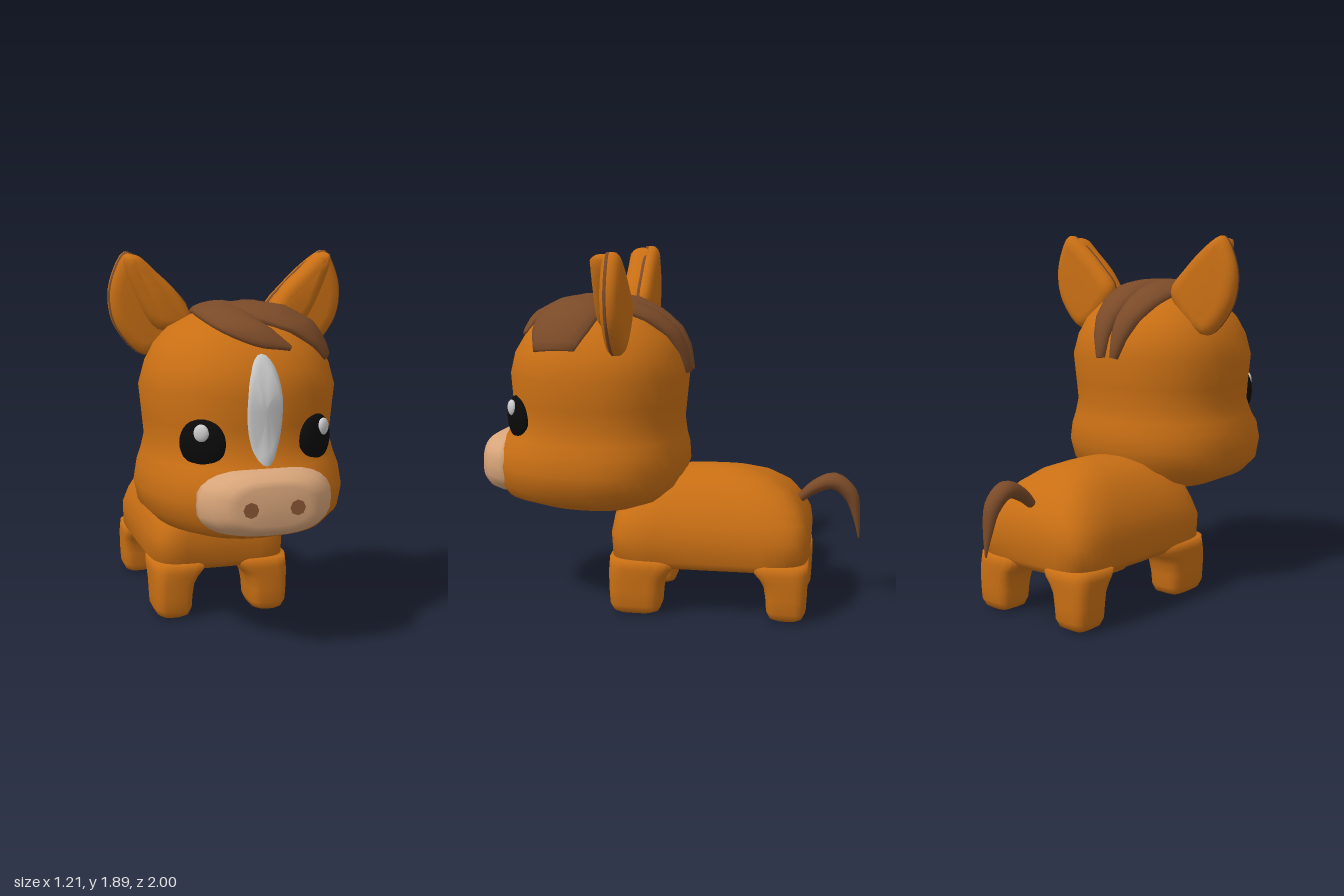
import * as THREE from 'three';
import { toCreasedNormals } from 'three/addons/utils/BufferGeometryUtils.js';

const V = (x, y, z) => new THREE.Vector3(x, y, z);
const mat = (color) => new THREE.MeshStandardMaterial({ color });
const coat = mat(0xc96f14), hair = mat(0x7a4a28), skin = mat(0xd8a57a);
const black = mat(0x0a0a0a), white = mat(0xcccccc), nostrilMat = mat(0x8a5634);

function add(parent, name, geometry, material) {
  const mesh = new THREE.Mesh(geometry, material);
  mesh.name = name;
  parent.add(mesh);
  return mesh;
}

// Closed skin over a list of equal-sized rings, turned so that it faces outward
function loft(rings) {
  const n = rings[0].length, pts = rings.flat(), idx = [];
  for (let r = 0; r < rings.length - 1; r++)
    for (let i = 0; i < n; i++) {
      const a = r * n + i, b = r * n + (i + 1) % n;
      idx.push(a, b, b + n, a, b + n, a + n);
    }
  for (const [r, flip] of [[0, true], [rings.length - 1, false]]) {
    const c = pts.length;
    pts.push(rings[r].reduce((s, p) => s.add(p), V(0, 0, 0)).divideScalar(n));
    for (let i = 0; i < n; i++) {
      const a = r * n + i, b = r * n + (i + 1) % n;
      idx.push(...(flip ? [c, b, a] : [c, a, b]));
    }
  }
  let volume = 0;
  for (let i = 0; i < idx.length; i += 3)
    volume += pts[idx[i]].dot(pts[idx[i + 1]].clone().cross(pts[idx[i + 2]]));
  if (volume < 0) idx.reverse();
  const g = new THREE.BufferGeometry().setFromPoints(pts);
  g.setIndex(idx);
  g.computeVertexNormals();
  return g;
}

// Superellipse: n points as [u, v] in -1..1
function oval(n, power) {
  const f = (t) => Math.sign(t) * Math.abs(t) ** (2 / power);
  return Array.from({ length: n }, (_, i) => {
    const a = (i / n) * Math.PI * 2;
    return [f(Math.cos(a)), f(Math.sin(a))];
  });
}

// Horizontal ring between x and z limits
const flatRing = (y, x0, x1, z0, z1, n, power) => oval(n, power).map(([u, v]) =>
  V((x0 + x1) / 2 + u * (x1 - x0) / 2, y, (z0 + z1) / 2 + v * (z1 - z0) / 2));

// Head sections: height, half width, back z, front z
const HEAD = [
  [0.53, 0.12, 0.25, 0.55], [0.55, 0.3, 0.12, 0.75], [0.6, 0.42, 0, 0.9], [0.67, 0.49, -0.06, 0.95],
  [0.77, 0.51, -0.09, 0.96], [0.86, 0.495, -0.085, 0.94], [0.92, 0.475, -0.07, 0.89],
  [1.0, 0.455, -0.06, 0.85], [1.1, 0.465, -0.07, 0.85], [1.25, 0.48, -0.085, 0.86],
  [1.36, 0.45, -0.06, 0.835], [1.45, 0.405, -0.01, 0.78], [1.53, 0.335, 0.08, 0.71],
  [1.59, 0.22, 0.19, 0.6], [1.615, 0.08, 0.3, 0.46],
];
const MID = 0.38, HEAD_POWER = 2.2;

function insideHead(p) {
  const k = HEAD.findIndex((r) => r[0] > p.y);
  if (k < 1) return false;
  const a = HEAD[k - 1], b = HEAD[k], t = (p.y - a[0]) / (b[0] - a[0]);
  const [, w, zb, zf] = a.map((v, i) => v + (b[i] - v) * t);
  const d = p.z > MID ? zf - MID : MID - zb;
  return Math.abs(p.x / w) ** HEAD_POWER + Math.abs((p.z - MID) / d) ** HEAD_POWER < 1;
}

// Point where a ray leaves the head, raised by lift
function onHead(origin, dir, lift) {
  let lo = 0, hi = 1.2;
  for (let i = 0; i < 24; i++) {
    const m = (lo + hi) / 2;
    if (insideHead(origin.clone().addScaledVector(dir, m))) lo = m; else hi = m;
  }
  return origin.clone().addScaledVector(dir, lo + lift);
}

// Lock of hair lying on the head; stations are [x, y, z, half width, thickness]
function lock(stations) {
  const centre = V(0, 1.15, MID), steps = 14;
  const path = new THREE.CatmullRomCurve3(stations.map((s) => V(s[0], s[1], s[2])));
  const rings = [];
  for (let i = 0; i <= steps; i++) {
    const t = i / steps, f = t * (stations.length - 1);
    const k = Math.min(Math.floor(f), stations.length - 2);
    const [w, th] = [3, 4].map((j) => THREE.MathUtils.lerp(stations[k][j], stations[k + 1][j], f - k));
    const p = path.getPoint(t);
    const side = path.getTangent(t).cross(p.clone().sub(centre)).normalize();
    rings.push(oval(16, 2).map(([u, v]) => {
      const dir = p.clone().addScaledVector(side, u * w).sub(centre).normalize();
      return onHead(centre, dir, 0.005 + v * th);
    }));
  }
  return loft(rings);
}

// Softly bevelled plate from a closed outline
function plate(points, s, z, depth, bevel, size) {
  const curve = new THREE.CatmullRomCurve3(points.map(([x, y]) => V(x * s, y, 0)), true, 'centripetal');
  const shape = new THREE.Shape(curve.getPoints(36).slice(0, -1).map((p) => new THREE.Vector2(p.x, p.y)));
  const g = new THREE.ExtrudeGeometry(shape, {
    depth, bevelThickness: bevel, bevelSize: size, bevelOffset: -size, bevelSegments: 4,
  });
  g.translate(0, 0, z);
  return toCreasedNormals(g, 1);
}

function makeHead() {
  const head = new THREE.Group();
  head.name = 'head';
  add(head, 'skull', loft(HEAD.map(([y, w, zb, zf]) => oval(36, HEAD_POWER).map(([u, v]) =>
    V(u * w, y, MID + v * (v > 0 ? zf - MID : MID - zb))))), coat);

  // Muzzle: z, half width, bottom, top
  add(head, 'muzzle', loft([
    [0.76, 0.34, 0.6, 0.925], [0.87, 0.325, 0.6, 0.925], [0.94, 0.28, 0.615, 0.91],
    [0.985, 0.22, 0.645, 0.885], [1, 0.17, 0.675, 0.855],
  ].map(([z, w, y0, y1]) => oval(28, 2.7).map(([u, v]) =>
    V(u * w, (y0 + y1) / 2 + v * (y1 - y0) / 2, z)))), skin);

  // Blaze following the forehead
  add(head, 'blaze', loft([[1, -0.02], [1, 0.004], [0.8, 0.009], [0.4, 0.013], [0.1, 0.015]].map(([k, lift]) =>
    oval(28, 2).map(([u, v]) => onHead(V(u * k * 0.085, 1.185 + v * k * 0.255, MID), V(0, 0, 1), lift)))), white);

  for (const s of [-1, 1]) {
    const nostril = add(head, 'nostril', new THREE.CylinderGeometry(0.037, 0.037, 0.02, 8), nostrilMat);
    nostril.rotation.x = Math.PI / 2;
    nostril.position.set(s * 0.112, 0.757, 0.993);

    const eye = new THREE.Group();
    eye.name = 'eye';
    eye.position.set(s * 0.275, 1.03, 0.765);
    eye.rotation.y = s * 0.64;
    add(eye, 'eyeball', new THREE.SphereGeometry(1, 24, 16), black).scale.set(0.115, 0.118, 0.05);
    const glint = add(eye, 'glint', new THREE.SphereGeometry(1, 14, 10), white);
    glint.scale.set(0.038, 0.042, 0.02);
    glint.position.set(0.01, 0.055, 0.042);
    head.add(eye);

    // Ear: back shell, dark inside, front fold
    const ear = new THREE.Group();
    ear.name = 'ear';
    const outline = [[0.52, 1.89], [0.585, 1.78], [0.605, 1.66], [0.57, 1.52], [0.43, 1.38],
      [0.3, 1.45], [0.2, 1.6], [0.3, 1.73], [0.45, 1.86]];
    add(ear, 'earShell', plate(outline, s, 0.205, 0.015, 0.045, 0.06), coat);
    add(ear, 'innerEar', plate(outline, s, 0.225, 0.005, 0.01, 0.008), hair);
    add(ear, 'earFold', plate([[0.53, 1.87], [0.47, 1.875], [0.38, 1.8], [0.26, 1.68], [0.2, 1.55],
      [0.36, 1.51], [0.48, 1.69]], s, 0.23, 0.04, 0.055, 0.05), coat);
    head.add(ear);

    // Back of the mane, parted down the middle
    add(head, 'maneBack', lock([[s * 0.09, 1.62, 0.55, 0.12, 0.035], [s * 0.1, 1.63, 0.3, 0.12, 0.04],
      [s * 0.09, 1.57, 0.08, 0.1, 0.045], [s * 0.07, 1.45, -0.04, 0.07, 0.045],
      [s * 0.045, 1.26, -0.1, 0.025, 0.025]]), hair);
  }

  // Fringe: a broad sweep to the left and a pointed lock in front
  add(head, 'fringeSweep', lock([[-0.14, 1.6, 0.42, 0.12, 0.03], [0.04, 1.62, 0.46, 0.19, 0.04],
    [0.2, 1.59, 0.5, 0.21, 0.045], [0.34, 1.52, 0.53, 0.19, 0.045], [0.43, 1.41, 0.55, 0.13, 0.02]]), hair);
  add(head, 'fringeLock', lock([[-0.09, 1.61, 0.3, 0.11, 0.03], [-0.11, 1.6, 0.48, 0.11, 0.04],
    [-0.07, 1.56, 0.64, 0.1, 0.04], [0.03, 1.51, 0.73, 0.07, 0.035], [0.15, 1.45, 0.75, 0.015, 0.01]]), hair);
  return head;
}

function makeBody() {
  const body = new THREE.Group();
  body.name = 'body';
  const cx = -0.03;
  // Torso: height, half width, back z, front z, squareness
  add(body, 'torso', loft([
    [0.25, 0.2, -0.56, 0.12, 4], [0.255, 0.32, -0.7, 0.25, 5], [0.3, 0.362, -0.74, 0.293, 6],
    [0.42, 0.365, -0.745, 0.3, 6], [0.5, 0.342, -0.735, 0.29, 5], [0.57, 0.31, -0.7, 0.27, 4.5],
    [0.65, 0.255, -0.635, 0.2, 4], [0.71, 0.18, -0.53, 0.1, 3.5], [0.74, 0.1, -0.42, -0.05, 3],
    [0.752, 0.03, -0.32, -0.18, 2.5],
  ].map(([y, w, zb, zf, p]) => flatRing(y, cx - w, cx + w, zb, zf, 40, p)), ), coat);

  // Legs: height, then insets of the inner and outer sides
  for (const s of [-1, 1])
    for (const front of [true, false]) {
      const rings = [[0, 0.055, 0.05], [0.015, 0.02, 0.025], [0.05, 0.005, 0.008], [0.12, 0, 0.004],
        [0.18, -0.01, 0.002], [0.22, -0.035, 0], [0.25, -0.065, 0], [0.3, -0.09, 0.003]];
      const f = front ? 1 : -1;
      add(body, front ? 'frontLeg' : 'backLeg', loft(rings.map(([y, inner, outer]) => {
        const x0 = 0.152 + inner, x1 = 0.365 - outer;
        const z0 = (front ? 0.235 : 0.305) + inner, z1 = 0.522 - outer;
        const zc = -0.222;
        const xs = [cx + s * x0, cx + s * x1], zs = [zc + f * z0, zc + f * z1];
        return flatRing(y, Math.min(...xs), Math.max(...xs), Math.min(...zs), Math.max(...zs), 24, 3.6);
      })), coat);
    }

  // Tail: y, z, half width, half thickness along an arched path
  const T = [[0.565, -0.66, 0.02, 0.02], [0.65, -0.76, 0.042, 0.035], [0.685, -0.86, 0.055, 0.045],
    [0.62, -0.945, 0.045, 0.04], [0.5, -0.98, 0.028, 0.02], [0.38, -0.996, 0.004, 0.004]];
  const path = new THREE.CatmullRomCurve3(T.map(([y, z]) => V(-0.015, y, z)));
  add(body, 'tail', loft(Array.from({ length: 21 }, (_, i) => {
    const t = i / 20, f = t * (T.length - 1), k = Math.min(Math.floor(f), T.length - 2);
    const [w, h] = [2, 3].map((j) => THREE.MathUtils.lerp(T[k][j], T[k + 1][j], f - k));
    const p = path.getPoint(t), up = path.getTangent(t).cross(V(1, 0, 0));
    return oval(14, 2).map(([u, v]) => p.clone().addScaledVector(up, v * h).add(V(u * w, 0, 0)));
  })), hair);
  return body;
}

export function createModel() {
  const model = new THREE.Group();
  model.name = 'pony';
  model.add(makeBody(), makeHead());
  return model;
}
